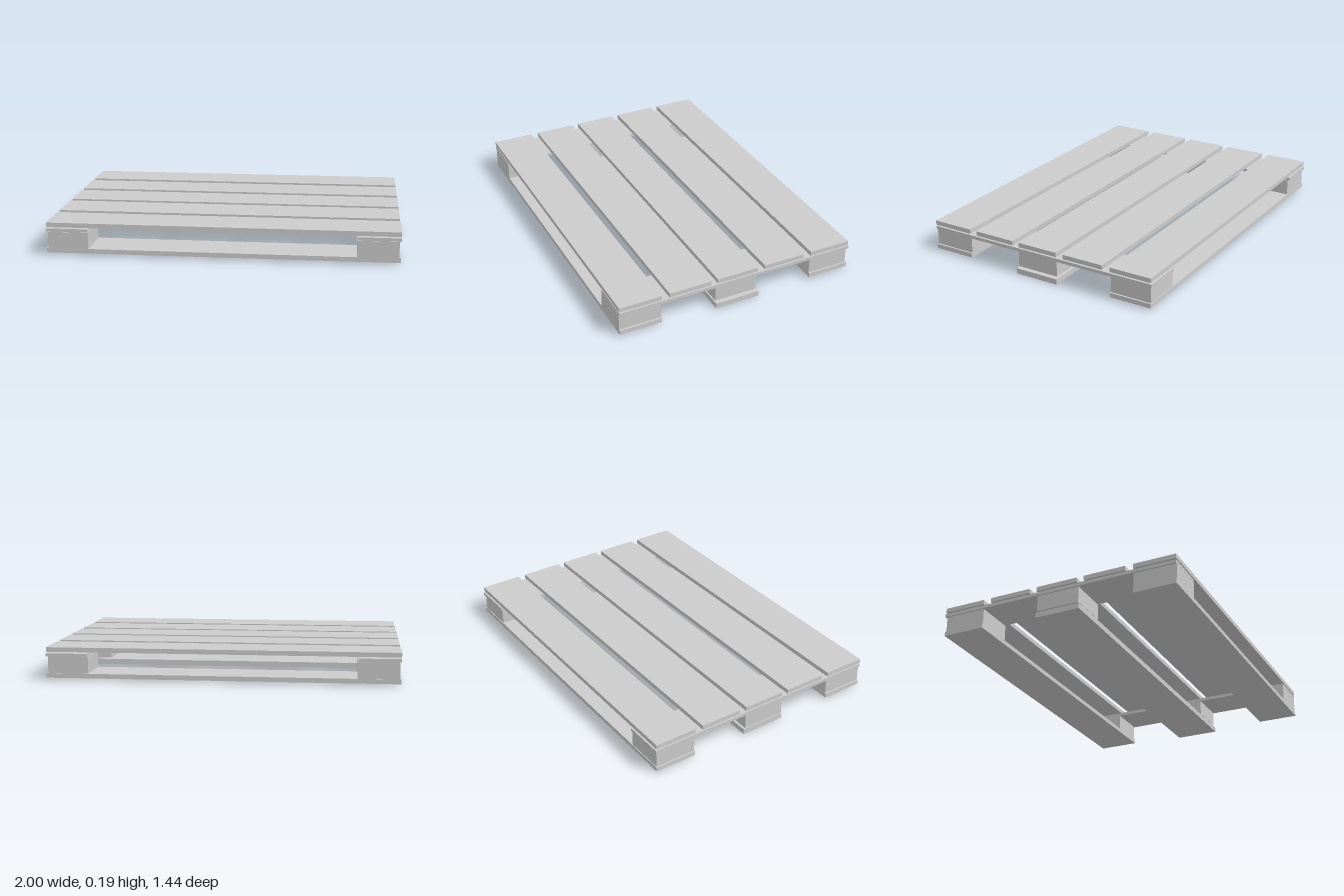
import * as THREE from 'three';

export function createModel() {
  const model = new THREE.Group();
  const wood = new THREE.MeshStandardMaterial({ color: 0xcccccc, flatShading: true });

  // Box given by its [min, max] span on each axis
  function plank(name, [x0, x1], [y0, y1], [z0, z1]) {
    const mesh = new THREE.Mesh(new THREE.BoxGeometry(x1 - x0, y1 - y0, z1 - z0), wood);
    mesh.position.set((x0 + x1) / 2, (y0 + y1) / 2, (z0 + z1) / 2);
    mesh.name = name;
    model.add(mesh);
  }

  // Five deck boards running along x
  for (const z of [-0.588, -0.289, 0.006, 0.298, 0.594]) {
    plank('deckBoard', [-0.998, 0.99], [0.16, 0.186], [z - 0.125, z + 0.125]);
  }

  // Two cross boards under the deck, one at each end
  plank('crossBoardRight', [-0.998, -0.762], [0.133, 0.152], [-0.718, 0.718]);
  plank('crossBoardLeft', [0.753, 0.99], [0.133, 0.152], [-0.718, 0.718]);

  // Three rows of spacer blocks, one block at each end
  for (const z of [[-0.709, -0.464], [-0.116, 0.139], [0.47, 0.718]]) {
    plank('blockRight', [-0.99, -0.759], [0.038, 0.132], z);
    plank('blockLeft', [0.75, 0.98], [0.038, 0.132], z);
  }

  // Bottom boards; the middle one sits slightly lower and to the left
  plank('bottomBoardBack', [-0.998, 0.99], [0.012, 0.038], [-0.713, -0.463]);
  plank('bottomBoardMiddle', [-0.99, 1], [0, 0.032], [-0.125, 0.143]);
  plank('bottomBoardFront', [-0.998, 0.99], [0.012, 0.038], [0.469, 0.718]);

  return model;
}
